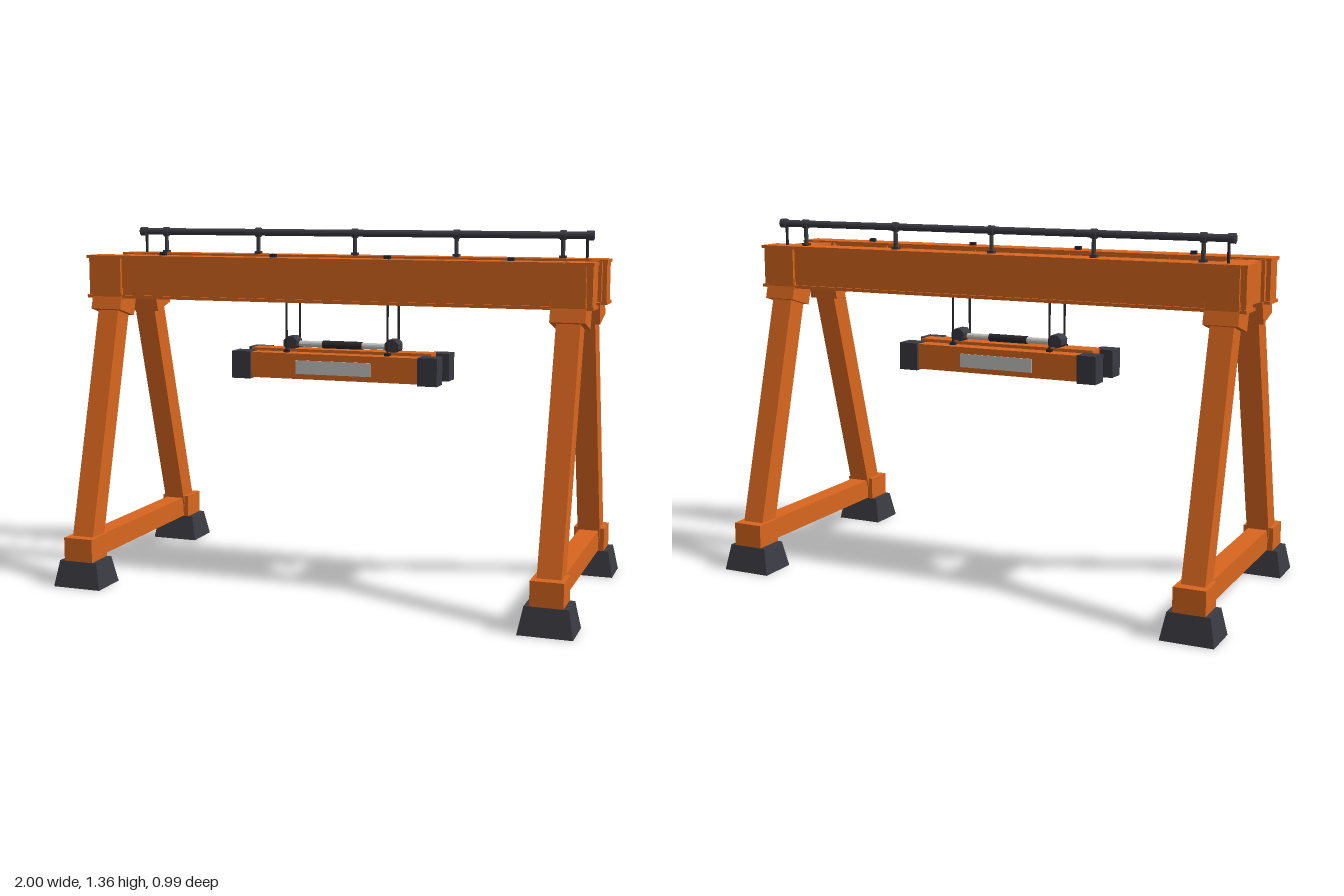
import * as THREE from 'three';

const material = (name, color) => {
  const m = new THREE.MeshStandardMaterial({ color });
  m.name = name;
  m.flatShading = true;
  return m;
};

export function createModel() {
  const orange = material('orange paint', 0xd9661f);
  const dark = material('dark rubber', 0x3a3a42);
  const black = material('black steel', 0x27272b);
  const grey = material('light grey', 0xc6c6c2);
  const model = new THREE.Group();
  model.name = 'gantryCrane';

  const add = (name, geometry, mat, x, y, z, parent = model) => {
    const mesh = new THREE.Mesh(geometry, mat);
    mesh.name = name;
    mesh.position.set(x, y, z);
    parent.add(mesh);
    return mesh;
  };
  // Box given by its extents on each axis
  const box = (name, mat, [x0, x1], [y0, y1], [z0, z1], parent) =>
    add(name, new THREE.BoxGeometry(x1 - x0, y1 - y0, z1 - z0), mat,
      (x0 + x1) / 2, (y0 + y1) / 2, (z0 + z1) / 2, parent);
  const around = (c, size) => [c - size / 2, c + size / 2];
  const side = (s, a, b) => (s > 0 ? [a, b] : [-b, -a]);
  const rod = (name, mat, r, length, axis, x, y, z, parent, sides = 12) => {
    const g = new THREE.CylinderGeometry(r, r, length, sides);
    if (axis === 'x') g.rotateZ(Math.PI / 2);
    if (axis === 'z') g.rotateX(Math.PI / 2);
    return add(name, g, mat, x, y, z, parent);
  };
  // Box narrowed toward its top
  const frustum = (w, h, d, sx, sz) => {
    const g = new THREE.BoxGeometry(w, h, d);
    const p = g.attributes.position;
    for (let i = 0; i < p.count; i++) {
      if (p.getY(i) > 0) p.setXYZ(i, p.getX(i) * sx, p.getY(i), p.getZ(i) * sz);
    }
    g.computeVertexNormals();
    return g;
  };

  // End frames: leaning legs, feet, sills and top ties
  const legX = 0.903, lean = Math.atan(0.284);
  const legZ = y => 0.394 - 0.284 * (y - 0.183);
  for (const sx of [-1, 1]) {
    const frame = new THREE.Group();
    frame.name = sx > 0 ? 'leftEndFrame' : 'rightEndFrame';
    model.add(frame);
    const x = sx * legX;
    for (const s of [-1, 1]) {
      add('foot', frustum(0.195, 0.1, 0.154, 0.8, 0.77), dark, x, 0.05, s * 0.419, frame);
      box('legSocket', orange, around(x, 0.118), [0.1, 0.19], side(s, 0.36, 0.476), frame);
      const leg = add('leg', new THREE.BoxGeometry(0.086, 0.98 / Math.cos(lean), 0.0865),
        orange, x, 0.63, s * legZ(0.63), frame);
      leg.rotation.x = -s * lean;
      const collar = add('legCollar', new THREE.BoxGeometry(0.126, 0.085, 0.116),
        orange, x, 1.073, s * (legZ(1.073) + 0.007), frame);
      collar.rotation.x = -s * lean;
      box('tieFlange', orange, around(x, 0.134), [1.1, 1.25], side(s, 0.083, 0.104), frame);
    }
    box('sill', orange, around(x, 0.075), [0.102, 0.183], [-0.37, 0.37], frame);
    box('endTie', orange, around(x, 0.108), [1.1, 1.248], [-0.1, 0.1], frame);
  }

  // Main girders with flanges and stiffeners
  for (const s of [-1, 1]) {
    const girder = new THREE.Group();
    girder.name = s > 0 ? 'frontGirder' : 'backGirder';
    model.add(girder);
    box('web', orange, [-0.985, 0.985], [1.095, 1.25], side(s, 0.108, 0.19), girder);
    for (const y of [1.096, 1.249]) {
      box('flange', orange, [-0.99, 0.99], around(y, 0.012), side(s, 0.095, 0.2), girder);
    }
    for (const x of [-0.6, -0.2, 0.2, 0.6]) {
      box('stiffener', orange, around(x, 0.012), [1.1, 1.245], side(s, 0.098, 0.11), girder);
    }
    for (const sx of [-1, 1]) {
      box('endPad', orange, around(sx * legX, 0.12), [1.092, 1.253], side(s, 0.18, 0.202), girder);
    }
  }
  for (const x of [-0.685, -0.225, 0.225, 0.685]) {
    box('girderStud', black, around(x, 0.022), [1.25, 1.268], around(0.145, 0.018));
  }

  // Handrail on the back girder
  const rail = new THREE.Group();
  rail.name = 'handrail';
  model.add(rail);
  rod('railBar', dark, 0.0135, 1.86, 'x', 0, 1.34, -0.145, rail);
  for (const x of [-0.815, -0.408, 0, 0.408, 0.815]) {
    rod('railPost', dark, 0.008, 0.085, 'y', x, 1.295, -0.145, rail);
    rod('railCollar', dark, 0.018, 0.022, 'x', x, 1.34, -0.145, rail);
    box('postBase', dark, around(x, 0.024), [1.25, 1.265], around(-0.145, 0.026), rail);
  }
  for (const x of [-0.905, 0.905]) {
    rod('endPost', black, 0.0055, 0.085, 'y', x, 1.295, -0.145, rail);
    rod('endCollar', dark, 0.018, 0.026, 'x', x * 1.012, 1.34, -0.145, rail);
  }

  // Trolley between the girders
  const trolley = new THREE.Group();
  trolley.name = 'trolley';
  model.add(trolley);
  box('trolleyBody', dark, [-0.155, 0.155], [1.11, 1.2], [-0.097, 0.097], trolley);
  rod('trolleyDrum', dark, 0.032, 0.19, 'z', 0, 1.2, 0, trolley);
  rod('powerCable', black, 0.005, 1.7, 'x', 0, 1.2, 0, trolley, 8);

  // Hanging spreader
  const spreader = new THREE.Group();
  spreader.name = 'spreader';
  model.add(spreader);
  box('spreaderCore', orange, [-0.34, 0.34], [0.795, 0.886], [-0.05, 0.05], spreader);
  box('spreaderCap', orange, [-0.362, 0.362], [0.87, 0.9], [-0.036, 0.036], spreader);
  for (const s of [-1, 1]) {
    box('sideBeam', orange, [-0.345, 0.345], [0.793, 0.89], side(s, 0.048, 0.11), spreader);
    box('sidePlate', grey, [-0.15, 0.15], [0.813, 0.865], side(s, 0.108, 0.114), spreader);
    for (const sx of [-1, 1]) {
      box('cornerBlock', dark, side(sx, 0.335, 0.41), [0.788, 0.893], side(s, 0.047, 0.122), spreader);
      box('cableAnchor', black, around(sx * 0.203, 0.02), [0.885, 0.9], around(s * 0.07, 0.02), spreader);
      rod('hoistCable', black, 0.0045, 0.23, 'y', sx * 0.203, 1.005, s * 0.07, spreader, 8);
    }
  }
  for (const sx of [-1, 1]) {
    const sheave = rod('sheave', dark, 0.029, 0.06, 'z', sx * 0.205, 0.92, 0, spreader, 8);
    sheave.rotation.z = Math.PI / 8;
    rod('cylinderTube', grey, 0.012, 0.1, 'x', sx * 0.125, 0.917, 0, spreader);
  }
  rod('cylinderSleeve', black, 0.015, 0.16, 'x', 0, 0.917, 0, spreader);

  return model;
}
